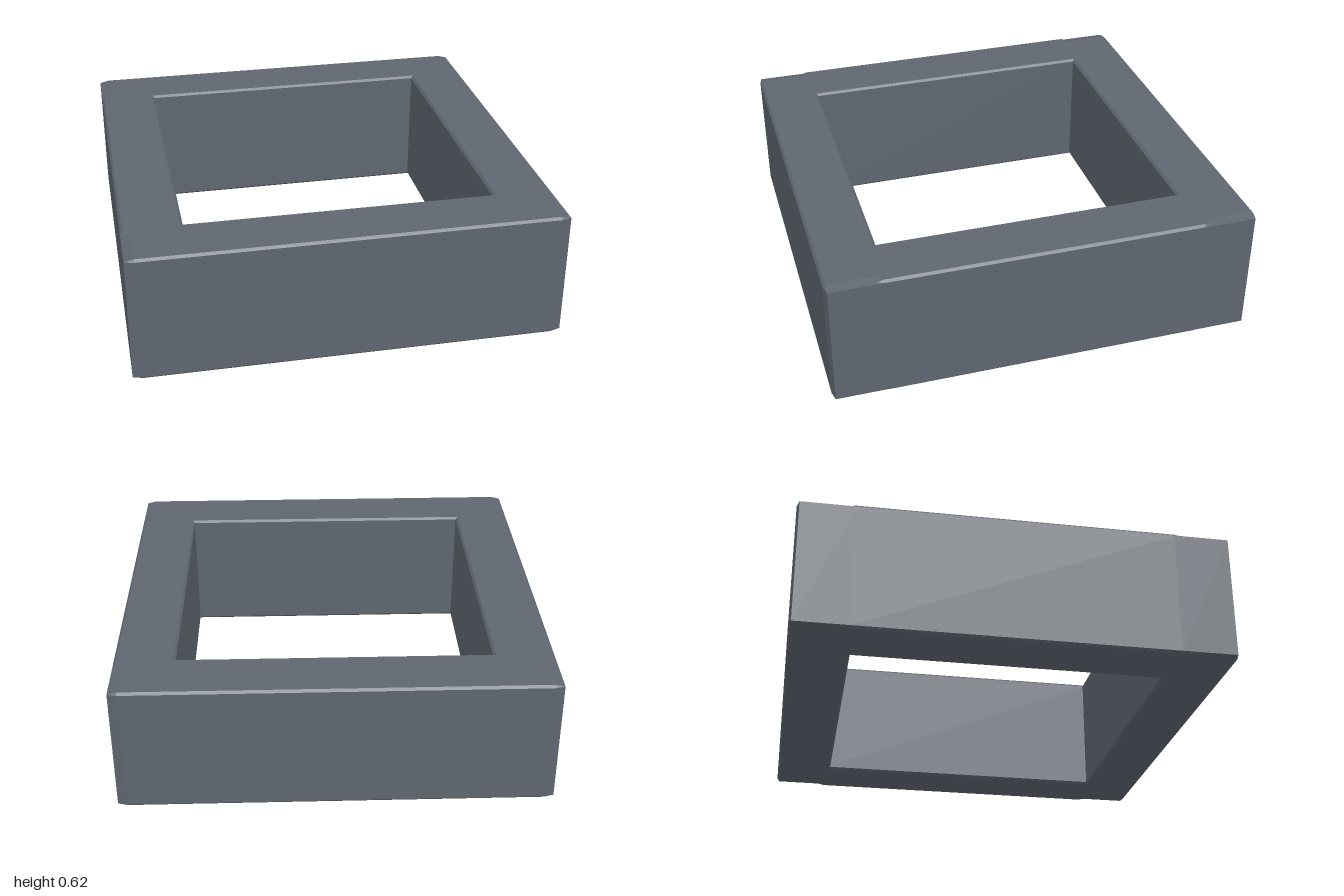
import * as THREE from 'three';
import { ConvexGeometry } from 'three/addons/geometries/ConvexGeometry.js';

const HEIGHT = 0.615, THICK = 0.28, EDGE = 0.011, END = 0.045;

// Beam along x with thin chamfers on its long edges and longer tapers at its ends
function beamGeometry(length) {
  const l = length / 2, h = HEIGHT / 2, d = THICK / 2;
  const points = [];
  for (const sx of [-1, 1]) for (const sy of [-1, 1]) for (const sz of [-1, 1]) {
    points.push(
      new THREE.Vector3(sx * l, sy * (h - EDGE), sz * (d - EDGE)),
      new THREE.Vector3(sx * (l - END), sy * h, sz * (d - EDGE)),
      new THREE.Vector3(sx * (l - END), sy * (h - EDGE), sz * d)
    );
  }
  return new ConvexGeometry(points);
}

export function createModel() {
  const group = new THREE.Group();
  group.name = 'squareFrame';
  const material = new THREE.MeshStandardMaterial({ color: 0x5f6670 });
  const offset = 1 - THICK / 2;

  function addBeam(name, length, x, z, turn) {
    const beam = new THREE.Mesh(beamGeometry(length), material);
    beam.name = name;
    beam.position.set(x, HEIGHT / 2, z);
    beam.rotation.y = turn;
    group.add(beam);
  }

  // Full-length front and back beams
  addBeam('frontBeam', 2, 0, offset, 0);
  addBeam('backBeam', 2, 0, -offset, 0);

  // Side beams, their ends set into the front and back beams
  addBeam('leftBeam', 1.57, offset, 0, Math.PI / 2);
  addBeam('rightBeam', 1.57, -offset, 0, Math.PI / 2);

  return group;
}
